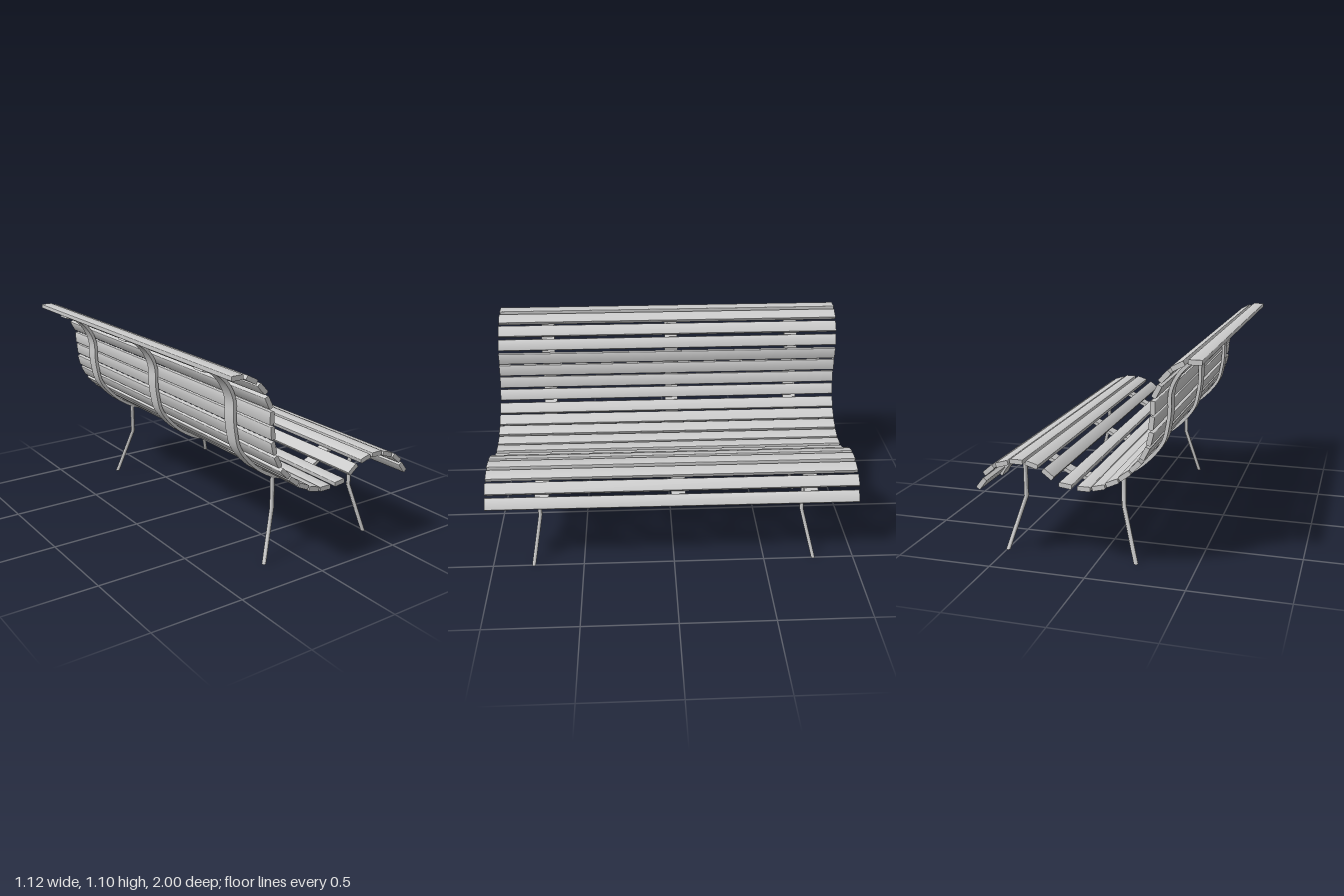
import * as THREE from 'three';
import { toCreasedNormals } from 'three/addons/utils/BufferGeometryUtils.js';

const material = new THREE.MeshStandardMaterial({ color: 0xcccccc });

function addMesh(parent, geometry, name) {
  const mesh = new THREE.Mesh(geometry, material);
  mesh.name = name;
  parent.add(mesh);
  return mesh;
}

// Plank with softly rounded long edges, running along z
function slatGeometry(width, height, length, r) {
  const w = width / 2, h = height / 2;
  const s = new THREE.Shape();
  s.moveTo(-w + r, -h);
  s.absarc(w - r, -h + r, r, -Math.PI / 2, 0);
  s.absarc(w - r, h - r, r, 0, Math.PI / 2);
  s.absarc(-w + r, h - r, r, Math.PI / 2, Math.PI);
  s.absarc(-w + r, -h + r, r, Math.PI, Math.PI * 1.5);
  const g = new THREE.ExtrudeGeometry(s, { depth: length, bevelEnabled: false, curveSegments: 3 });
  g.translate(0, 0, -length / 2);
  return toCreasedNormals(g, 0.6);
}

// Flat bar following the S-shaped seat profile
function ribGeometry(points, thickness, width) {
  const curve = new THREE.SplineCurve(points.map(([x, y]) => new THREE.Vector2(x, y)));
  const upper = [], lower = [], steps = 72;
  for (let i = 0; i <= steps; i++) {
    const p = curve.getPointAt(i / steps), t = curve.getTangentAt(i / steps);
    const n = new THREE.Vector2(-t.y, t.x).multiplyScalar(thickness / 2);
    upper.push(p.clone().add(n));
    lower.push(p.clone().sub(n));
  }
  const shape = new THREE.Shape([...lower, ...upper.reverse()]);
  const g = new THREE.ExtrudeGeometry(shape, { depth: width, bevelEnabled: false });
  g.translate(0, 0, -width / 2);
  return toCreasedNormals(g, 0.6);
}

// Bent rod with level ends: a ring is placed at each path point, from the top down
function legGeometry(path, rx, rz, sides = 8) {
  const pos = [], index = [];
  path.forEach(([x, y, z]) => {
    for (let i = 0; i < sides; i++) {
      const a = ((i + 0.5) / sides) * Math.PI * 2;
      pos.push(x + rx * Math.cos(a), y, z + rz * Math.sin(a));
    }
  });
  for (let k = 0; k < path.length - 1; k++) {
    for (let i = 0; i < sides; i++) {
      const a = k * sides + i, b = k * sides + ((i + 1) % sides);
      index.push(a, b, a + sides, b, b + sides, a + sides);
    }
  }
  const last = (path.length - 1) * sides;
  for (let i = 1; i < sides - 1; i++) {
    index.push(0, i + 1, i);
    index.push(last, last + i, last + i + 1);
  }
  const g = new THREE.BufferGeometry();
  g.setAttribute('position', new THREE.Float32BufferAttribute(pos, 3));
  g.setIndex(index);
  return toCreasedNormals(g, 0.9);
}

export function createModel() {
  const bench = new THREE.Group();
  bench.name = 'bench';

  // Slats from the top of the back to the front lip: x, y, angle in degrees
  const slats = [
    [-0.528, 1.087, 0], [-0.45, 1.066, -28], [-0.39, 1.015, -48], [-0.354, 0.945, -63],
    [-0.336, 0.868, -90], [-0.33, 0.796, -84], [-0.323, 0.721, -76], [-0.298, 0.65, -63],
    [-0.253, 0.582, -45], [-0.2, 0.532, -37], [-0.14, 0.492, -24], [-0.073, 0.462, -14],
    [0, 0.45, 0], [0.093, 0.457, 7], [0.18, 0.506, 38], [0.262, 0.546, 17],
    [0.34, 0.555, 0], [0.415, 0.538, -17], [0.486, 0.5, -40], [0.531, 0.433, -52],
  ];
  const slatGeo = slatGeometry(0.065, 0.024, 1.983, 0.005);
  const slatGroup = new THREE.Group();
  slatGroup.name = 'slats';
  bench.add(slatGroup);
  slats.forEach(([x, y, deg], i) => {
    const slat = addMesh(slatGroup, slatGeo, i < 9 ? 'backSlat' : 'seatSlat');
    slat.position.set(x, y, -0.008 + 0.014 * Math.min(1, i / 9));
    slat.rotation.set(0, 0, THREE.MathUtils.degToRad(deg), 'XYZ');
    // the front lip sits slightly askew
    if (i === slats.length - 1) slat.rotation.set(-0.006, 0.004, slat.rotation.z);
  });

  // Three curved ribs under the slats
  const ribGeo = ribGeometry([
    [-0.543, 1.069], [-0.489, 1.054], [-0.438, 1.021], [-0.399, 0.976], [-0.372, 0.925],
    [-0.36, 0.875], [-0.36, 0.802], [-0.351, 0.727], [-0.333, 0.652], [-0.294, 0.592],
    [-0.234, 0.529], [-0.174, 0.484], [-0.105, 0.448], [-0.039, 0.432], [0.036, 0.425],
    [0.111, 0.436], [0.171, 0.46], [0.231, 0.499], [0.291, 0.526], [0.342, 0.532],
    [0.411, 0.517], [0.462, 0.484], [0.501, 0.442], [0.524, 0.402],
  ], 0.018, 0.075);
  for (const z of [-0.73, -0.02, 0.7]) addMesh(bench, ribGeo, 'rib').position.z = z;

  // Splayed legs below the two outer ribs
  for (const [topZ, footZ] of [[0.728, 0.777], [-0.706, -0.777]]) {
    addMesh(bench, legGeometry(
      [[0.413, 0.512, topZ], [0.413, 0.278, topZ], [0.495, 0, footZ]], 0.012, 0.011), 'frontLeg');
    addMesh(bench, legGeometry(
      [[-0.115, 0.452, topZ], [-0.115, 0.278, topZ], [-0.197, 0, footZ]], 0.012, 0.011), 'backLeg');
  }
  return bench;
}
